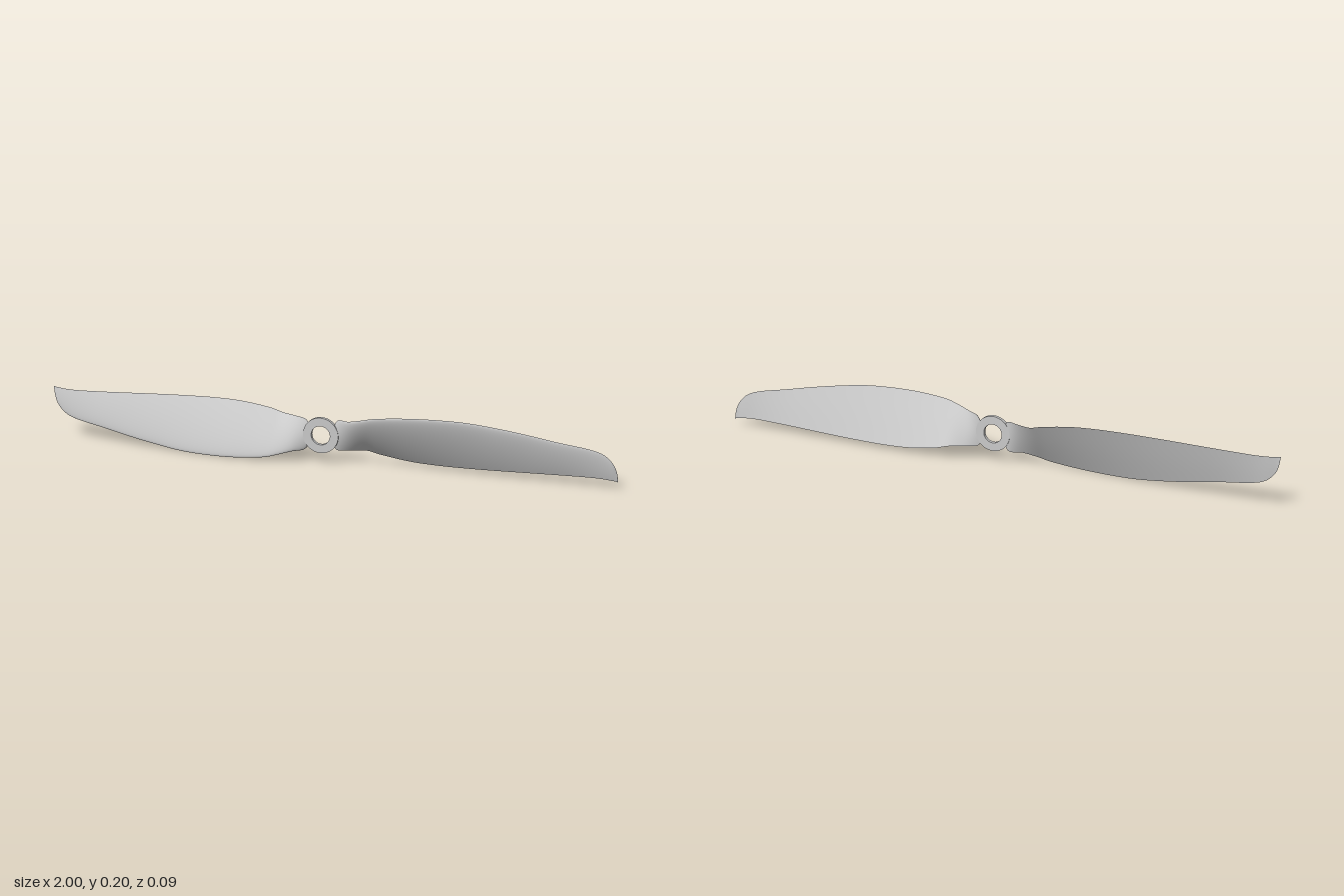
import * as THREE from 'three';

const HUB_Y = 0.103;

// Blade edges and skin thickness, relative to the hub axis: x, y, z (root to tip)
const LEADING = [
  [0.04, 0.022, 0.000], [0.058, 0.056, 0.001], [0.10, 0.062, 0.022], [0.15, 0.075, 0.036],
  [0.20, 0.087, 0.041], [0.30, 0.097, 0.041], [0.40, 0.100, 0.036], [0.50, 0.097, 0.028],
  [0.60, 0.085, 0.018], [0.70, 0.069, 0.009], [0.80, 0.050, 0.000], [0.90, 0.033, -0.011],
  [0.95, 0.016, -0.018], [0.98, -0.012, -0.023], [0.994, -0.042, -0.029], [1.0, -0.077, -0.032],
];
const TRAILING = [
  [0.04, -0.022, -0.001], [0.055, -0.050, -0.003], [0.10, -0.053, -0.022], [0.15, -0.055, -0.040],
  [0.20, -0.067, -0.045], [0.30, -0.081, -0.045], [0.40, -0.085, -0.043], [0.50, -0.084, -0.040],
  [0.60, -0.081, -0.037], [0.70, -0.077, -0.034], [0.80, -0.073, -0.031], [0.90, -0.070, -0.029],
  [0.95, -0.071, -0.029], [0.98, -0.074, -0.030], [0.994, -0.076, -0.031], [1.0, -0.078, -0.032],
];
const THICKNESS = [0.010, 0.010, 0.012, 0.014, 0.015, 0.015, 0.014, 0.013,
  0.012, 0.010, 0.009, 0.007, 0.006, 0.004, 0.002, 0];

const edgeCurve = (pts) =>
  new THREE.CatmullRomCurve3(pts.map((p) => new THREE.Vector3(...p)), false, 'catmullrom', 0.5);

// One skin lofted between the two edges; bulge(s) is its offset along the chord
function bladeSkin(bulge, flip) {
  const lead = edgeCurve(LEADING), trail = edgeCurve(TRAILING);
  const rows = 90, cols = 20;
  const positions = [], index = [];
  for (let i = 0; i <= rows; i++) {
    const u = i / rows;
    const a = lead.getPoint(u), b = trail.getPoint(u);
    const k = u * (THICKNESS.length - 1), k0 = Math.min(Math.floor(k), THICKNESS.length - 2);
    const t = THREE.MathUtils.lerp(THICKNESS[k0], THICKNESS[k0 + 1], k - k0);
    const dy = b.y - a.y, dz = b.z - a.z, len = Math.hypot(dy, dz) || 1;
    for (let j = 0; j <= cols; j++) {
      const s = (1 - Math.cos((Math.PI * j) / cols)) / 2;
      const h = t * bulge(s);
      const p = a.clone().lerp(b, s);
      positions.push(p.x, p.y + (dz / len) * h, p.z - (dy / len) * h);
      if (i < rows && j < cols) {
        const q = i * (cols + 1) + j, r = q + cols + 1;
        if (flip) index.push(q, r, q + 1, q + 1, r, r + 1);
        else index.push(q, q + 1, r, q + 1, r + 1, r);
      }
    }
  }
  const geo = new THREE.BufferGeometry();
  geo.setAttribute('position', new THREE.Float32BufferAttribute(positions, 3));
  geo.setIndex(index);
  geo.computeVertexNormals();
  return geo;
}

export function createModel() {
  const model = new THREE.Group();
  model.name = 'propeller';
  model.position.y = HUB_Y;
  const material = new THREE.MeshStandardMaterial({ color: 0xcccccc, side: THREE.DoubleSide });
  const add = (name, geometry, parent) => {
    const mesh = new THREE.Mesh(geometry, material);
    mesh.name = name;
    parent.add(mesh);
  };

  // Hub ring with shaft hole
  const ring = new THREE.Shape().absarc(0, 0, 0.062, 0, Math.PI * 2);
  ring.holes.push(new THREE.Path().absarc(0, 0, 0.033, 0, Math.PI * 2, true));
  const hub = new THREE.ExtrudeGeometry(ring, { depth: 0.013, bevelEnabled: false, curveSegments: 48 });
  hub.translate(0, 0, -0.003);
  add('hub', hub, model);

  // Two twisted blades, half a turn apart: rounded front skin, nearly flat back skin
  const front = bladeSkin((s) => 1.9 * Math.sqrt(s) * (1 - s) * (1 + 0.3 * s), false);
  const back = bladeSkin((s) => -0.12 * Math.sin(Math.PI * s), true);
  ['leftBlade', 'rightBlade'].forEach((name, i) => {
    const blade = new THREE.Group();
    blade.name = name;
    blade.rotation.z = i * Math.PI;
    add(name + 'Front', front, blade);
    add(name + 'Back', back, blade);
    model.add(blade);
  });
  return model;
}
